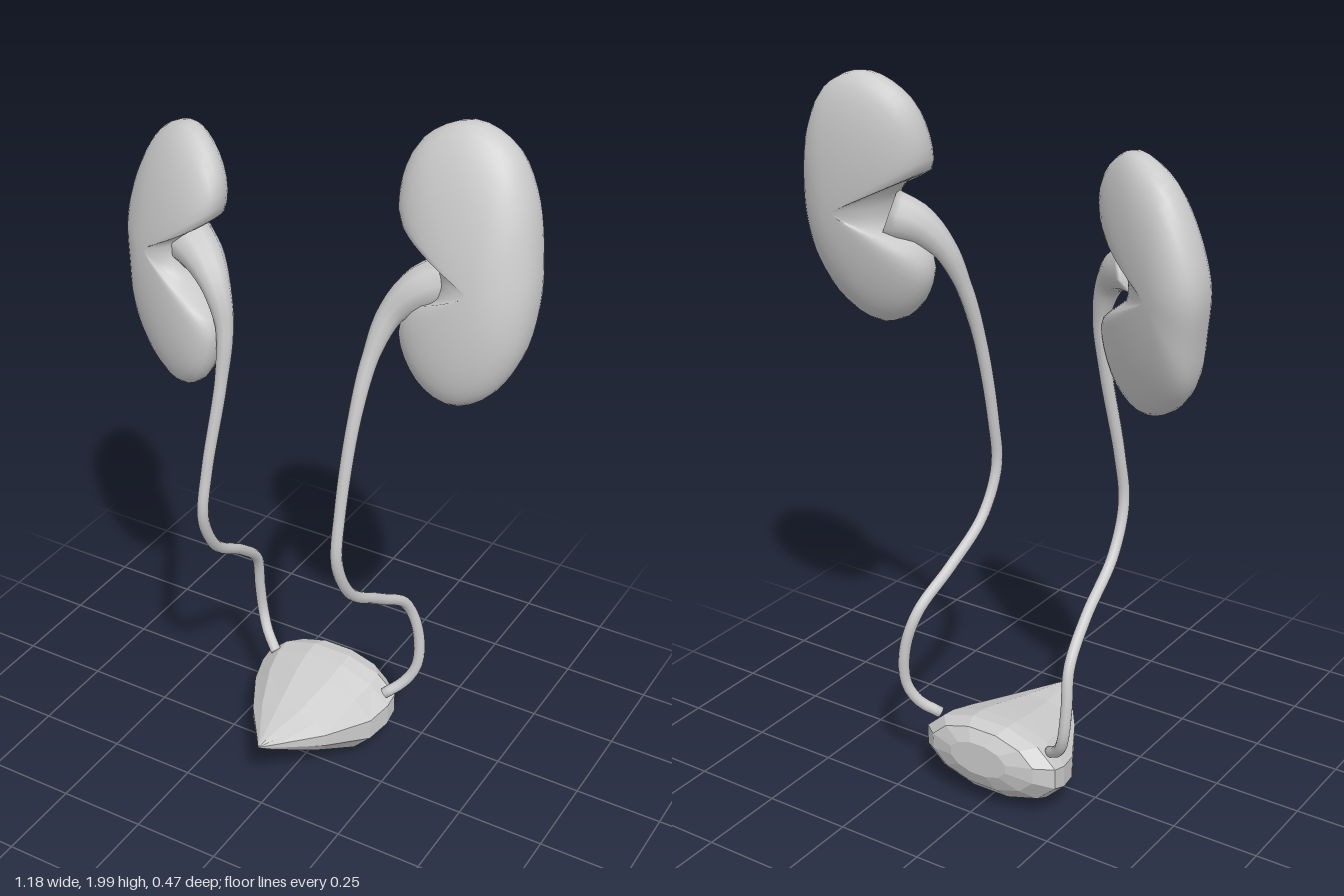
import * as THREE from 'three';
import { mergeVertices } from 'three/addons/utils/BufferGeometryUtils.js';

const V = (x, y, z) => new THREE.Vector3(x, y, z);

// Skin a list of closed rings, closing both ends; faces are turned outward by signed volume.
function loft(rings, flat = false) {
  const n = rings[0].length;
  const mid = r => r.reduce((a, p) => a.add(p), V(0, 0, 0)).divideScalar(n);
  const first = mid(rings[0]), last = mid(rings[rings.length - 1]);
  const all = [Array(n).fill(first), ...rings, Array(n).fill(last)];
  const tris = [];
  let volume = 0;
  const add = (a, b, c) => {
    if (b.clone().sub(a).cross(c.clone().sub(a)).lengthSq() < 1e-16) return;
    tris.push([a, b, c]);
    volume += a.clone().sub(first).dot(b.clone().sub(first).cross(c.clone().sub(first)));
  };
  for (let i = 0; i < all.length - 1; i++) {
    for (let j = 0; j < n; j++) {
      const k = (j + 1) % n;
      add(all[i][j], all[i][k], all[i + 1][k]);
      add(all[i][j], all[i + 1][k], all[i + 1][j]);
    }
  }
  const points = tris.flatMap(t => (volume < 0 ? [t[0], t[2], t[1]] : t));
  let geometry = new THREE.BufferGeometry().setFromPoints(points);
  if (!flat) geometry = mergeVertices(geometry, 1e-5);
  geometry.computeVertexNormals();
  return geometry;
}

// Bean outline domed to front and back, leaning with height and with x.
function kidney(outline, [cx, cy, cz], half, leanX, leanY) {
  const curve = new THREE.CatmullRomCurve3(outline.map(([x, y]) => V(x, y, 0)), true);
  const edge = curve.getSpacedPoints(56).slice(0, -1);
  const rings = [];
  const rows = 20;
  for (let i = 1; i < rows; i++) {
    const a = Math.PI * i / rows;
    const s = Math.sin(a), c = Math.cos(a);
    const dome = half * Math.sign(c) * Math.abs(c) ** 0.88;
    rings.push(edge.map(p => {
      const dx = (p.x - cx) * s, dy = (p.y - cy) * s;
      return V(cx + dx, cy + dy, cz + dome + leanX * dx + leanY * dy);
    }));
  }
  return loft(rings);
}

// Round tube whose radius follows the fourth number of each path point.
function ureter(path) {
  const curve = new THREE.CatmullRomCurve3(path.map(p => V(p[0], p[1], p[2])));
  const steps = 72, sides = 10;
  const frames = curve.computeFrenetFrames(steps, false);
  const rings = [];
  for (let i = 0; i <= steps; i++) {
    const t = curve.getUtoTmapping(i / steps) * (path.length - 1);
    const k = Math.min(Math.floor(t), path.length - 2);
    const r = THREE.MathUtils.lerp(path[k][3], path[k + 1][3], t - k);
    const centre = curve.getPointAt(i / steps);
    rings.push(Array.from({ length: sides }, (_, j) => {
      const a = 2 * Math.PI * j / sides;
      return centre.clone()
        .addScaledVector(frames.normals[i], r * Math.cos(a))
        .addScaledVector(frames.binormals[i], r * Math.sin(a));
    }));
  }
  return loft(rings);
}

// Faceted sections from the pointed front to the blunt back.
function bladder() {
  // z, half width, bottom, top
  const sections = [
    [0.235, 0.002, 0.195, 0.2], [0.19, 0.034, 0.16, 0.207], [0.07, 0.122, 0.085, 0.222],
    [-0.06, 0.195, 0.01, 0.25], [-0.13, 0.213, 0.022, 0.264], [-0.175, 0.212, 0.045, 0.268],
    [-0.215, 0.165, 0.085, 0.258], [-0.236, 0.09, 0.13, 0.225],
  ];
  const sides = 12;
  return loft(sections.map(([z, w, low, high]) => Array.from({ length: sides }, (_, j) => {
    const a = 2 * Math.PI * (j + 0.5) / sides;
    const y = (low + high) / 2 + (high - low) / 2 * Math.sin(a) * 1.03;
    return V(-0.016 + w * Math.cos(a) * 1.03, y, z);
  })), true);
}

export function createModel() {
  const group = new THREE.Group();
  const grey = new THREE.MeshStandardMaterial({ color: 0xcccccc });
  grey.name = 'light grey';
  const add = (name, geometry) => {
    const mesh = new THREE.Mesh(geometry, grey);
    mesh.name = name;
    group.add(mesh);
  };

  // Kidneys
  add('leftKidney', kidney([
    [0.365, 2.0], [0.25, 1.94], [0.21, 1.83], [0.222, 1.75], [0.29, 1.72], [0.335, 1.67],
    [0.335, 1.575], [0.275, 1.54], [0.247, 1.475], [0.27, 1.4], [0.33, 1.33], [0.41, 1.302],
    [0.5, 1.345], [0.565, 1.45], [0.587, 1.58], [0.577, 1.71], [0.54, 1.86], [0.475, 1.96],
  ], [0.46, 1.63, -0.088], 0.112, -0.06, -0.17));
  add('rightKidney', kidney([
    [-0.355, 1.878], [-0.27, 1.83], [-0.23, 1.755], [-0.24, 1.68], [-0.295, 1.64], [-0.335, 1.6],
    [-0.335, 1.51], [-0.28, 1.46], [-0.217, 1.4], [-0.22, 1.32], [-0.265, 1.23], [-0.35, 1.185],
    [-0.455, 1.22], [-0.535, 1.31], [-0.57, 1.45], [-0.587, 1.59], [-0.54, 1.74], [-0.465, 1.84],
  ], [-0.46, 1.55, -0.053], 0.112, 0.43, -0.12));

  // Ureters, flared where they enter the kidneys
  add('leftUreter', ureter([
    [0.36, 1.615, -0.07, 0.07], [0.3, 1.59, -0.035, 0.056], [0.245, 1.53, 0, 0.036],
    [0.213, 1.42, 0.045, 0.023], [0.197, 1.25, 0.1, 0.018], [0.187, 1.0, 0.148, 0.016],
    [0.188, 0.85, 0.163, 0.016], [0.195, 0.72, 0.1, 0.016], [0.207, 0.62, -0.04, 0.016],
    [0.228, 0.53, -0.165, 0.016], [0.253, 0.42, -0.195, 0.016], [0.255, 0.31, -0.19, 0.016],
    [0.225, 0.25, -0.17, 0.016], [0.18, 0.212, -0.135, 0.016],
  ]));
  add('rightUreter', ureter([
    [-0.36, 1.58, -0.01, 0.07], [-0.29, 1.555, 0.025, 0.056], [-0.23, 1.5, 0.06, 0.038],
    [-0.198, 1.4, 0.075, 0.024], [-0.2, 1.25, 0.095, 0.018], [-0.222, 1.0, 0.14, 0.016],
    [-0.23, 0.85, 0.155, 0.016], [-0.237, 0.72, 0.09, 0.016], [-0.248, 0.61, -0.06, 0.016],
    [-0.262, 0.51, -0.165, 0.016], [-0.27, 0.4, -0.19, 0.016], [-0.262, 0.3, -0.195, 0.016],
    [-0.235, 0.25, -0.175, 0.016], [-0.19, 0.215, -0.145, 0.016],
  ]));

  // Bladder
  add('bladder', bladder());
  return group;
}
